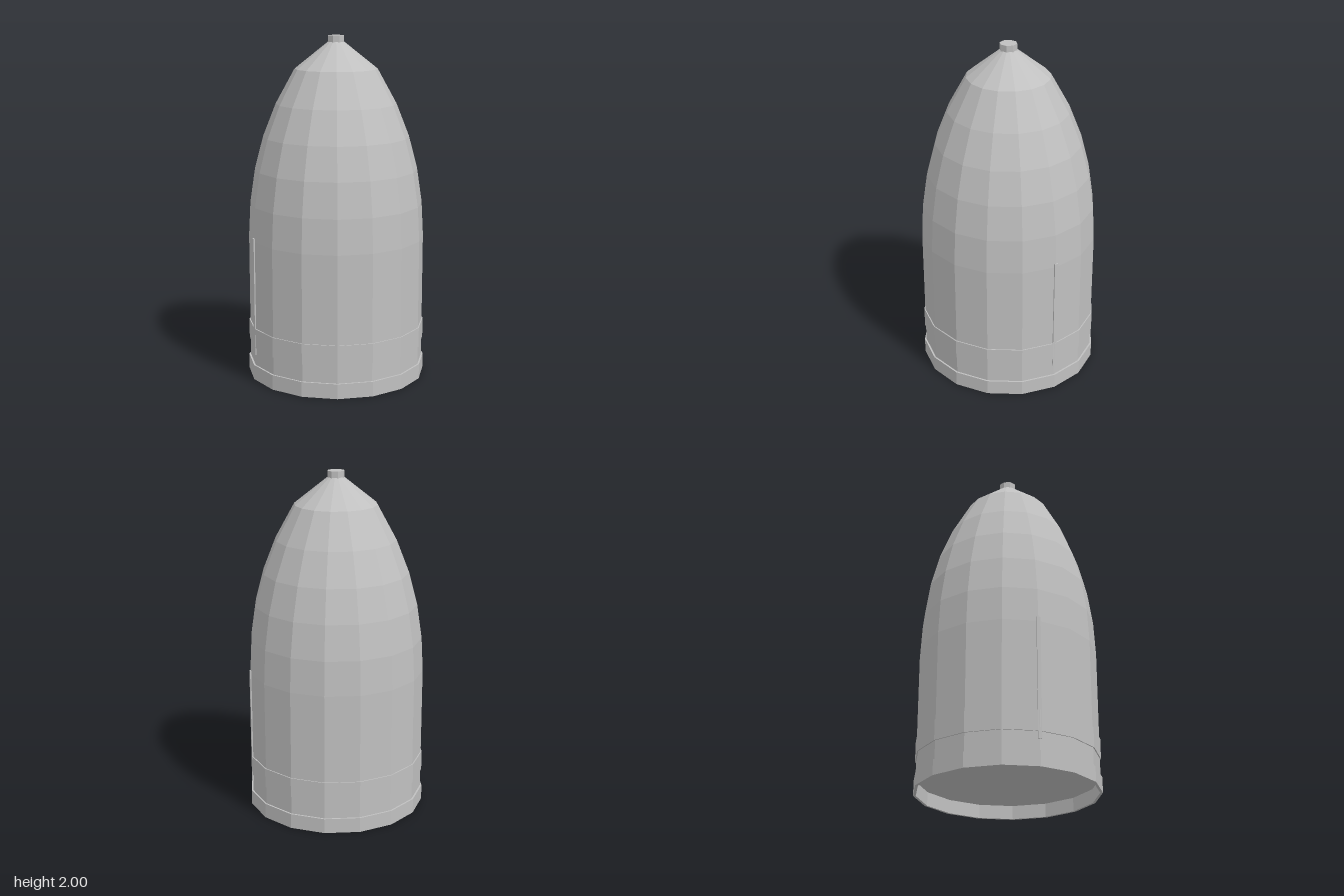
import * as THREE from 'three';

const SIDES = 16;

export function createModel() {
  const root = new THREE.Group();
  root.name = 'noseFairing';
  const grey = new THREE.MeshStandardMaterial({ color: 0xc0c0c0 });
  grey.name = 'shell grey';

  // Adds a mesh with faceted normals
  const add = (name, geometry) => {
    const faceted = geometry.index ? geometry.toNonIndexed() : geometry;
    faceted.computeVertexNormals();
    const mesh = new THREE.Mesh(faceted, grey);
    mesh.name = name;
    root.add(mesh);
    return mesh;
  };
  const lathe = (profile) =>
    new THREE.LatheGeometry(profile.map(([r, y]) => new THREE.Vector2(r, y)), SIDES);
  const ring = (inner, outer, y0, y1) =>
    lathe([[inner, y0], [outer, y0], [outer, y1], [inner, y1], [inner, y0]]);

  // Straight body and pointed dome, closed by a recessed floor
  add('shell', lathe([
    [0, 0.08], [0.516, 0.08], [0.516, 0.83], [0.505, 1.03], [0.475, 1.23],
    [0.425, 1.42], [0.35, 1.61], [0.24, 1.81], [0.043, 1.967], [0, 1.967],
  ]));

  // Open skirt under the floor, and the raised band above it
  add('baseRing', ring(0.511, 0.526, 0, 0.088));
  add('raisedBand', ring(0.505, 0.522, 0.195, 0.312));

  // Eight-sided cap on the tip
  const cap = add('tipCap', new THREE.CylinderGeometry(0.05, 0.05, 0.04, 8));
  cap.position.y = 1.98;

  // Thin vertical seam strips on both sides
  for (const side of [-1, 1]) {
    const strip = add(side > 0 ? 'leftSeam' : 'rightSeam', new THREE.BoxGeometry(0.02, 0.7, 0.022));
    strip.position.set(side * 0.511, 0.503, 0);
  }
  return root;
}
